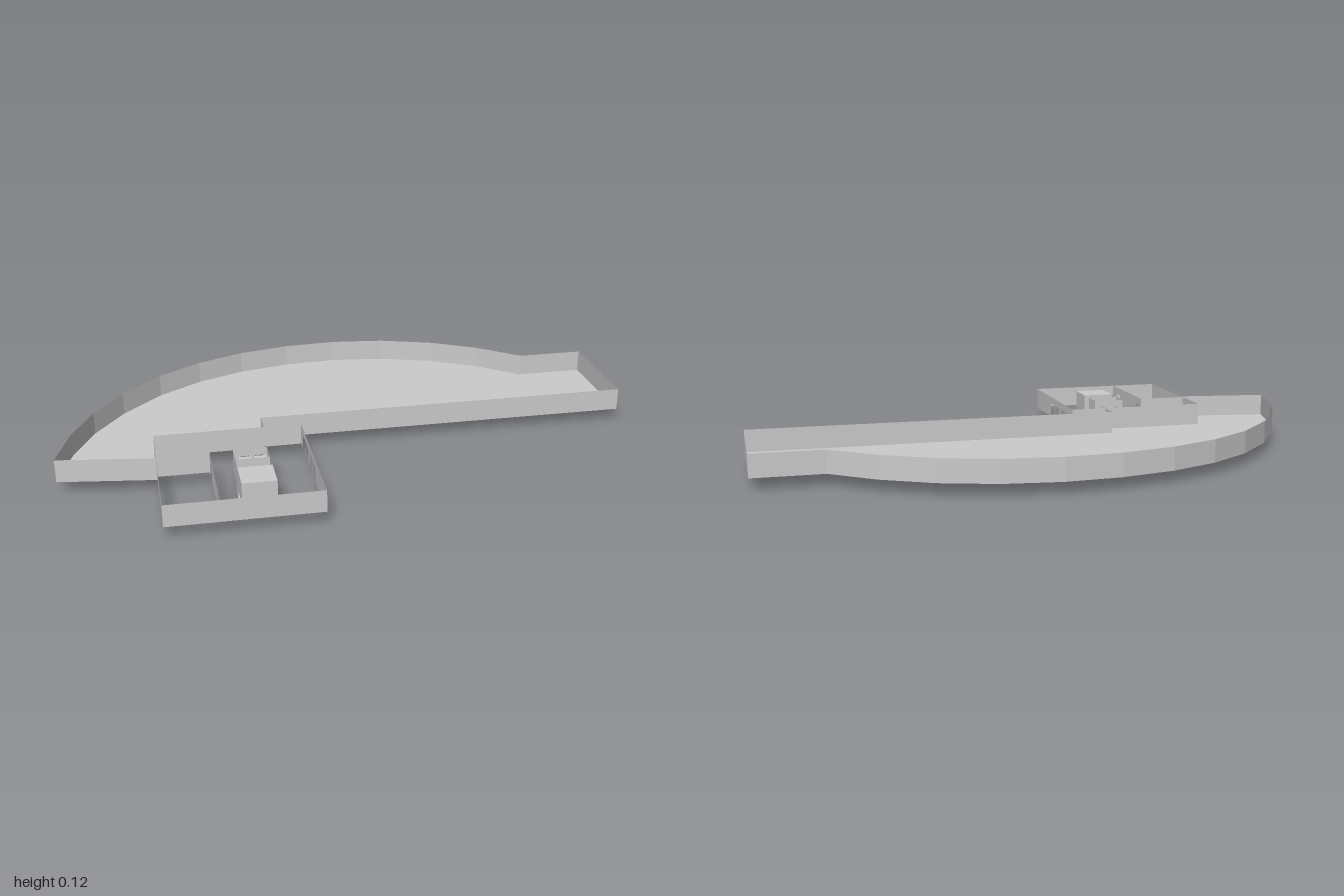
import * as THREE from 'three';

const FLOOR = 0.042, TOP = 0.12, DOOR = 0.094;
const mat = new THREE.MeshStandardMaterial({ color: 0xcccccc, flatShading: true, side: THREE.DoubleSide });

function add(parent, name, geometry) {
  const mesh = new THREE.Mesh(geometry, mat);
  mesh.name = name;
  parent.add(mesh);
  return mesh;
}

// Upright thin wall from a to b ([x, z]); doors are [start, end] distances along it
function wall(parent, name, a, b, { doors = [], y0 = FLOOR, y1 = TOP, head = DOOR } = {}) {
  const dx = b[0] - a[0], dz = b[1] - a[1], len = Math.hypot(dx, dz);
  const s = new THREE.Shape();
  s.moveTo(0, y1);
  s.lineTo(0, y0);
  for (const [from, to] of doors) {
    s.lineTo(from, y0);
    s.lineTo(from, head);
    s.lineTo(to, head);
    s.lineTo(to, y0);
  }
  s.lineTo(len, y0);
  s.lineTo(len, y1);
  const mesh = add(parent, name, new THREE.ShapeGeometry(s));
  mesh.position.set(a[0], 0, a[1]);
  mesh.rotation.y = Math.atan2(-dz, dx);
  return mesh;
}

// Flat or sloping panel whose height runs from yA at xA to yB at xB
function panel(parent, name, xA, xB, z0, z1, yA, yB = yA) {
  const g = new THREE.PlaneGeometry(1, 1);
  const p = g.attributes.position;
  for (let i = 0; i < 4; i++) {
    const u = p.getX(i) + 0.5, v = 0.5 - p.getY(i);
    p.setXYZ(i, xA + (xB - xA) * u, yA + (yB - yA) * u, z0 + (z1 - z0) * v);
  }
  g.computeVertexNormals();
  return add(parent, name, g);
}

function group(parent, name) {
  const g = new THREE.Group();
  g.name = name;
  parent.add(g);
  return g;
}

export function createModel() {
  const root = new THREE.Group();
  root.name = 'floorPlan';

  // Great hall: curved slab with a wall along every edge
  const hall = group(root, 'hall');
  const outline = [
    [-1, 0.255], [-0.95, 0.07], [-0.875, -0.1], [-0.77, -0.255], [-0.63, -0.4],
    [-0.475, -0.505], [-0.305, -0.578], [-0.12, -0.62], [0.07, -0.632], [0.265, -0.608],
    [0.45, -0.548], [0.615, -0.457], [0.76, -0.338], [1, -0.338], [1, 0.052],
    [-0.31, 0.052], [-0.31, 0.13], [-0.68, 0.13], [-0.68, 0.302],
  ];
  const slab = new THREE.ShapeGeometry(new THREE.Shape(outline.map(([x, z]) => new THREE.Vector2(x, -z))));
  slab.rotateX(-Math.PI / 2);
  add(hall, 'hallFloor', slab).position.y = FLOOR;
  outline.forEach((p, i) => wall(hall, 'hallWall', p, outline[(i + 1) % outline.length]));

  // Square room, its +x wall pierced by four doorways
  const room = group(root, 'room');
  const [L, R, B, F] = [-0.68, -0.182, 0.13, 0.625];
  const y0 = 0.046;
  wall(room, 'roomFrontWall', [L, F], [R, F], { y0 });
  wall(room, 'roomSideWall', [L, B], [L, F], { y0 });
  wall(room, 'roomBackWall', [-0.31, B], [R, B], { y0 });
  const doorZ = [[0.17, 0.22], [0.225, 0.28], [0.31, 0.36], [0.366, 0.42]];
  wall(room, 'doorwayWall', [R, B], [R, F], { doors: doorZ.map(d => d.map(z => z - B)) });

  // Inner partitions
  wall(room, 'partitionBack', [L, 0.288], [-0.508, 0.288], { y0 });
  wall(room, 'partitionSide', [-0.508, 0.288], [-0.508, F], { doors: [[0.02, 0.06], [0.25, 0.29]] });

  // Service core
  const core = group(root, 'core');
  const [cl, cr, cb, lift, mid, cf] = [-0.432, -0.32, 0.288, 0.362, 0.42, 0.532];

  // Lift shaft with two doorways and two cabins
  const cabins = [[-0.416, -0.374], [-0.366, -0.324]];
  wall(core, 'shaftBack', [cl, cb], [cr, cb], {
    doors: cabins.map(([a, b]) => [a - cl + 0.006, b - cl - 0.006]),
  });
  wall(core, 'shaftFront', [cl, lift], [cr, lift]);
  wall(core, 'shaftSide', [cr, cb], [cr, lift]);
  for (const [a, b] of cabins) {
    const cabin = group(core, 'liftCabin');
    const [z0, z1] = [0.295, 0.35], h = { y1: 0.095 };
    wall(cabin, 'cabinSide', [a, z0], [a, z1], h);
    wall(cabin, 'cabinSide', [b, z0], [b, z1], h);
    wall(cabin, 'cabinRear', [a, z1], [b, z1], h);
    panel(cabin, 'cabinFloor', a, b, z0, z1, FLOOR);
    panel(cabin, 'cabinRoof', a, b, z0, z1, h.y1);
  }

  // Core side wall
  wall(core, 'coreSide', [cl, cb], [cl, cf]);

  // Stair flights: one down, one up, with landings at the far end
  const stairs = group(core, 'stairs');
  const half = 0.392, turn = -0.405, head = -0.335, rise = 0.08;
  panel(stairs, 'flightDown', turn, head, lift, half, 0.002, FLOOR);
  panel(stairs, 'flightDownReturn', turn, head, half, mid, 0.002, FLOOR);
  panel(stairs, 'lowerLanding', cl, turn, lift, mid, 0.002);
  wall(stairs, 'lowerEndWall', [cl, lift], [cl, mid], { y0: 0.002, y1: FLOOR });
  panel(stairs, 'flightUp', turn, head, half, mid, rise, FLOOR);
  panel(stairs, 'upperLanding', cl, turn, lift, mid, rise);
  panel(stairs, 'stairThreshold', head, cr, lift, mid, FLOOR);

  // Roofed utility box
  wall(core, 'boxBack', [cl, mid], [cr, mid]);
  wall(core, 'boxFront', [cl, cf], [cr, cf]);
  wall(core, 'boxSide', [cr, mid], [cr, cf]);
  panel(core, 'boxRoof', cl, cr, mid, cf, TOP);

  return root;
}
